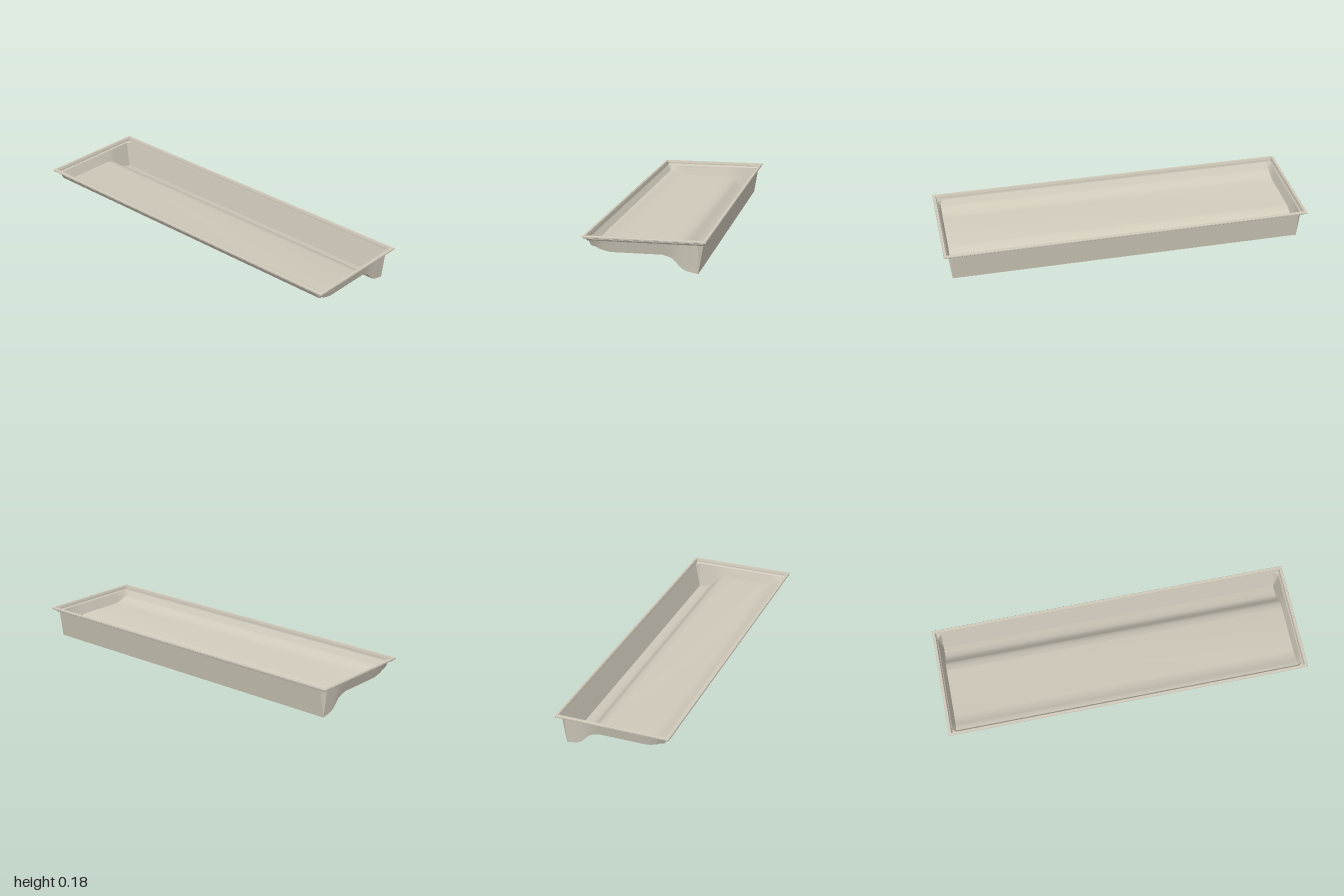
import * as THREE from 'three';
import { toCreasedNormals } from 'three/addons/utils/BufferGeometryUtils.js';

// Collects flat polygons (counter-clockwise from outside) into one geometry
function surface() {
  const pos = [];
  const face = (...p) => {
    for (let i = 1; i < p.length - 1; i++) pos.push(...p[0], ...p[i], ...p[i + 1]);
  };
  const both = (...p) => {
    face(...p);
    face(...p.map(([x, y, z]) => [-x, y, z]).reverse());
  };
  const build = (crease) => {
    const g = new THREE.BufferGeometry();
    g.setAttribute('position', new THREE.Float32BufferAttribute(pos, 3));
    g.computeVertexNormals();
    return toCreasedNormals(g, crease);
  };
  return { face, both, build };
}

export function createModel() {
  const group = new THREE.Group();
  const beige = new THREE.MeshStandardMaterial({ color: 0xd0cabb, side: THREE.DoubleSide });
  beige.name = 'warm beige';
  const add = (geometry, name) => {
    const m = new THREE.Mesh(geometry, beige);
    m.name = name;
    group.add(m);
    return m;
  };

  // Floor cross-section from front to back: [z, y]
  const profile = [
    [0.27, 0.118], [0.25, 0.115], [0.23, 0.104], [0.2, 0.095], [0.175, 0.09],
    [-0.085, 0.09], [-0.1, 0.086], [-0.12, 0.08], [-0.14, 0.07], [-0.152, 0.057],
    [-0.165, 0.043], [-0.183, 0.025], [-0.203, 0.014], [-0.23, 0.008], [-0.264, 0.001],
  ];
  const halfFloor = 0.96, halfTop = 0.976, topY = 0.148, topZ = 0.289;
  const R = profile.map(([z, y]) => [halfFloor, y, z]);
  const L = profile.map(([z, y]) => [-halfFloor, y, z]);
  const T = profile.map(([z]) => [halfTop, topY, z]);
  const n = profile.length - 1;

  // Contoured floor
  const floor = surface();
  for (let i = 0; i < n; i++) floor.face(R[i], L[i], L[i + 1], R[i + 1]);
  add(floor.build(0.6), 'floor');

  // End walls
  const ends = surface();
  for (let i = 0; i < n; i++) ends.both(R[i], R[i + 1], T[i + 1], T[i]);
  add(ends.build(0.6), 'endWalls');

  // Front and back walls, with tapering corner facets and small corner ledges
  const walls = surface();
  const F = [0.955, topY, topZ], B = [0.955, topY, -topZ];
  const flip = ([x, y, z]) => [-x, y, z];
  walls.face(L[0], R[0], F, flip(F));
  walls.face(R[n], L[n], flip(B), B);
  walls.both(R[0], T[0], F);
  walls.both(R[n], B, T[n]);
  walls.both(F, T[0], [halfTop, topY, topZ]);
  walls.both(T[n], B, [halfTop, topY, -topZ]);
  add(walls.build(0.1), 'frontAndBackWalls');

  // Collar and rim: rectangular loops [half x, half z, y]
  const loops = (rings, name) => {
    const s = surface();
    const ring = ([x, z, y]) => [[-x, y, z], [x, y, z], [x, y, -z], [-x, y, -z]];
    for (let i = 0; i < rings.length - 1; i++) {
      const a = ring(rings[i]), b = ring(rings[i + 1]);
      for (let k = 0; k < 4; k++) {
        const j = (k + 1) % 4;
        s.face(a[k], a[j], b[j], b[k]);
      }
    }
    add(s.build(0.5), name);
  };
  loops([[halfTop, topZ, topY], [0.982, 0.291, 0.156], [0.982, 0.291, 0.163]], 'collar');
  loops([
    [0.982, 0.291, 0.163], [0.998, 0.306, 0.163], [1, 0.308, 0.165], [1, 0.308, 0.172],
    [0.998, 0.306, 0.175], [0.985, 0.294, 0.175], [0.982, 0.291, 0.163],
  ], 'rim');

  // Tiny pips at the middle of each rim side
  const pip = new THREE.CylinderGeometry(0.005, 0.005, 0.002, 12);
  for (const [x, z] of [[0, 0.3], [0, -0.3], [0.991, 0], [-0.991, 0]]) {
    add(pip, 'rimPip').position.set(x, 0.1755, z);
  }
  return group;
}
